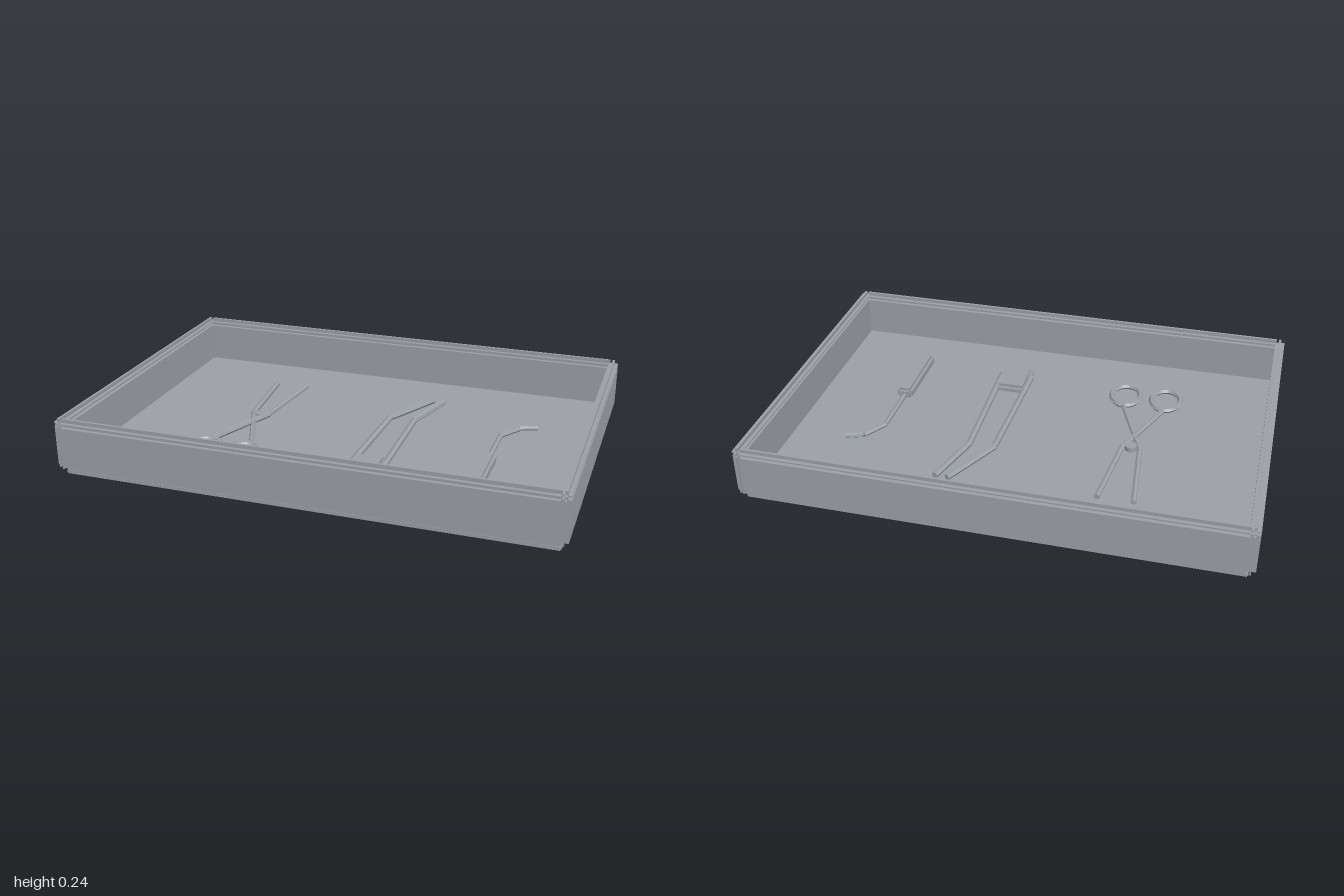
import * as THREE from 'three';
import { mergeGeometries } from 'three/addons/utils/BufferGeometryUtils.js';

const steel = new THREE.MeshStandardMaterial({ color: 0x9ca1a6, flatShading: true });

function addMesh(parent, name, geometry) {
  const mesh = new THREE.Mesh(geometry, steel);
  mesh.name = name;
  parent.add(mesh);
  return mesh;
}

// Box with stepped edges: three crossing boxes, each inset on two axes
function steppedBox(parent, name, size, center, b) {
  const boxes = [0, 1, 2].map((axis) => {
    const s = size.map((v, i) => (i === axis ? v : v - 2 * b));
    return new THREE.BoxGeometry(...s);
  });
  addMesh(parent, name, mergeGeometries(boxes)).position.set(...center);
}

// Bent six-sided rod lying at height y, through [x, z] points
function rod(parent, name, points, y, radius) {
  const up = new THREE.Vector3(0, 1, 0);
  const parts = [];
  for (let i = 0; i < points.length - 1; i++) {
    const a = new THREE.Vector3(points[i][0], y, points[i][1]);
    const c = new THREE.Vector3(points[i + 1][0], y, points[i + 1][1]);
    const dir = c.clone().sub(a);
    const g = new THREE.CylinderGeometry(radius, radius, dir.length(), 6);
    g.applyQuaternion(new THREE.Quaternion().setFromUnitVectors(up, dir.normalize()));
    g.translate((a.x + c.x) / 2, y, (a.z + c.z) / 2);
    parts.push(g);
  }
  addMesh(parent, name, mergeGeometries(parts));
}

function createTray() {
  const tray = new THREE.Group();
  tray.name = 'tray';
  steppedBox(tray, 'basePlate', [1.95, 0.02, 1.34], [0, 0.01, 0], 0.004);
  steppedBox(tray, 'floor', [1.94, 0.024, 1.34], [0, 0.026, 0], 0.004);
  const t = 0.04, b = 0.017;
  for (const s of [-1, 1]) {
    const end = s > 0 ? 'front' : 'back';
    const side = s > 0 ? 'left' : 'right';
    // Walls
    steppedBox(tray, end + 'Wall', [1.96, 0.2, t], [0, 0.124, s * 0.68], b);
    steppedBox(tray, side + 'Wall', [t, 0.2, 1.4], [s * 0.98, 0.124, 0], b);
    // Rim strips along the top of the walls
    steppedBox(tray, end + 'Rim', [1.96, 0.036, t], [0, 0.222, s * 0.68], 0.015);
    steppedBox(tray, side + 'Rim', [t, 0.036, 1.4], [s * 0.98, 0.222, 0], 0.015);
  }
  return tray;
}

function createScissors() {
  const scissors = new THREE.Group();
  scissors.name = 'scissors';
  for (const s of [-1, 1]) {
    const half = new THREE.Group();
    half.name = s > 0 ? 'leftHalf' : 'rightHalf';
    // Blade and shank cross over at the centre line
    rod(half, 'arm', [[s * 0.072, -0.4], [s * 0.036, -0.04], [0, 0.05], [-s * 0.086, 0.27]], 0.051, 0.012);
    const ring = addMesh(half, 'fingerRing', new THREE.TorusGeometry(0.062, 0.012, 6, 28));
    ring.rotation.x = Math.PI / 2;
    ring.scale.set(1, 1.28, 1);
    ring.position.set(-s * 0.088, 0.051, 0.358);
    scissors.add(half);
  }
  const pivot = addMesh(scissors, 'pivot', new THREE.CylinderGeometry(0.025, 0.025, 0.024, 16));
  pivot.position.set(0, 0.046, -0.03);
  scissors.position.x = -0.44;
  return scissors;
}

function createForceps() {
  const forceps = new THREE.Group();
  forceps.name = 'forceps';
  rod(forceps, 'rightArm', [[0.231, -0.42], [0.106, -0.17], [0.092, 0.4]], 0.052, 0.014);
  rod(forceps, 'leftArm', [[0.281, -0.42], [0.212, -0.17], [0.226, 0.4]], 0.052, 0.014);
  steppedBox(forceps, 'joint', [0.136, 0.04, 0.178], [0.158, 0.056, 0.357], 0.013);
  return forceps;
}

function createProbe() {
  const probe = new THREE.Group();
  probe.name = 'probe';
  steppedBox(probe, 'handle', [0.068, 0.05, 0.33], [0.597, 0.06, 0.278], 0.012);
  rod(probe, 'shaft', [[0.597, 0.13], [0.597, -0.125], [0.658, -0.22], [0.73, -0.247]], 0.054, 0.011);
  return probe;
}

export function createModel() {
  const model = new THREE.Group();
  model.name = 'instrumentTray';
  model.add(createTray(), createScissors(), createForceps(), createProbe());
  return model;
}
